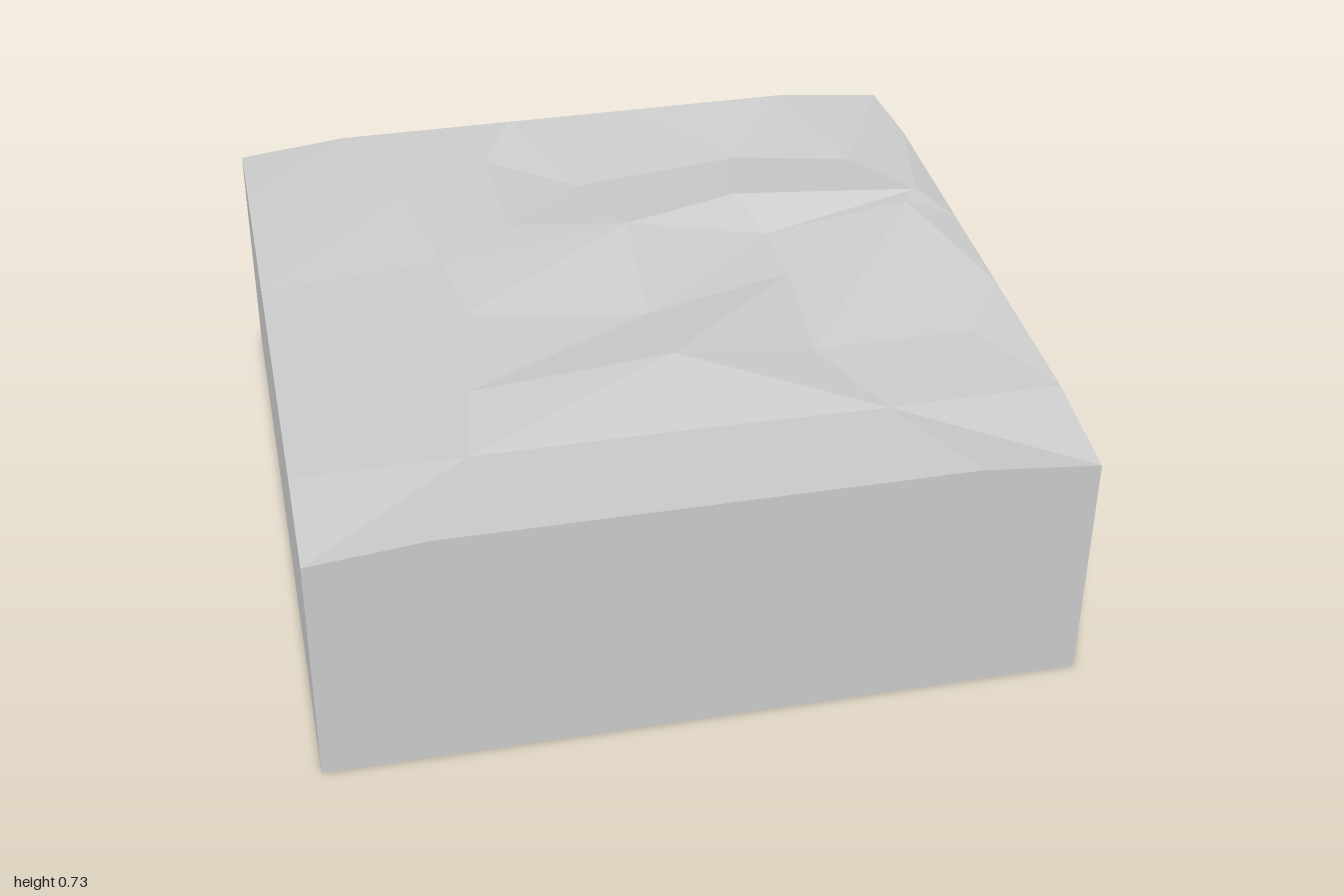
import * as THREE from 'three';

// Surface levels: valleys, level ground, ridges and dipped corners
const LOW = 0.672, MID = 0.7, HIGH = 0.727, CORNER = 0.667;

// Ground rows from back to front; each point is [x, y, z]
const back = [[-1, CORNER, -1], [-0.69, MID, -1], [-0.18, MID, -1], [0.17, MID, -1], [0.69, MID, -1], [1, CORNER, -1]];
const backValley = [[-1, MID, -0.69], [-0.55, MID, -0.63], [-0.28, LOW, -0.82], [-0.03, LOW, -0.62],
  [0.47, LOW, -0.69], [0.8, LOW, -0.61], [1, MID, -0.69]];
const ridgeTop = [[-1, MID, -0.18], [-0.49, LOW, -0.28], [-0.28, 0.688, -0.41], [0.05, HIGH, -0.29],
  [0.39, HIGH, -0.39], [0.92, HIGH, -0.31], [1, MID, -0.18]];
const ridgeFoot = [ridgeTop[0], ridgeTop[1], ridgeTop[3], [0.45, LOW, -0.24], [0.87, HIGH, -0.25], ridgeTop[6]];
const midValley = [[-1, MID, 0.18], [-0.46, LOW, 0], [0.03, LOW, 0.1], [0.46, LOW, -0.02], ridgeFoot[4], ridgeFoot[5]];
const knoll = [midValley[0], [-0.51, LOW, 0.37], [0.04, HIGH, 0.38], [0.43, LOW, 0.36], [0.87, LOW, 0.36], [1, MID, 0.18]];
const frontValley = [[-1, MID, 0.69], [-0.55, LOW, 0.65], [0.05, LOW, 0.65], [0.55, LOW, 0.66], [1, MID, 0.69]];
const front = [[-1, CORNER, 1], [-0.69, MID, 1], [0.69, MID, 1], [1, CORNER, 1]];

// Joins two rows with triangles; each step advances along the back (a) or front (b) row
function strip(out, a, b, steps) {
  let i = 0, j = 0;
  for (const s of steps) {
    const tri = [a[i], b[j], s === 'a' ? a[++i] : b[++j]];
    if (new Set(tri).size === 3) out.push(...tri.flat());
  }
}

function facetedMesh(name, positions) {
  const geometry = new THREE.BufferGeometry();
  geometry.setAttribute('position', new THREE.Float32BufferAttribute(positions, 3));
  geometry.computeVertexNormals();
  const material = new THREE.MeshStandardMaterial({ color: 0xcccccc, flatShading: true, side: THREE.DoubleSide });
  const mesh = new THREE.Mesh(geometry, material);
  mesh.name = name;
  return mesh;
}

export function createModel() {
  const group = new THREE.Group();
  group.name = 'terrainBlock';

  // Uneven faceted ground
  const ground = [];
  strip(ground, back, backValley, 'ababbababab');
  strip(ground, backValley, ridgeTop, 'abababababab');
  strip(ground, ridgeTop, ridgeFoot, 'abaabababab');
  strip(ground, ridgeFoot, midValley, 'ababababab');
  strip(ground, midValley, knoll, 'ababababba');
  strip(ground, knoll, frontValley, 'ababbaaba');
  strip(ground, frontValley, front, 'abababa');
  group.add(facetedMesh('ground', ground));

  // Four walls under the ground's rim, open at the bottom
  const last = (row) => row[row.length - 1];
  const rims = {
    frontWall: front,
    leftWall: [front, frontValley, knoll, ridgeTop, backValley, back].map(last),
    backWall: [...back].reverse(),
    rightWall: [back, backValley, ridgeTop, midValley, frontValley, front].map((row) => row[0]),
  };
  for (const [name, rim] of Object.entries(rims)) {
    const wall = [];
    for (let i = 0; i < rim.length - 1; i++) {
      const p = rim[i], q = rim[i + 1];
      const p0 = [p[0], 0, p[2]], q0 = [q[0], 0, q[2]];
      wall.push(...p0, ...q0, ...q, ...p0, ...q, ...p);
    }
    group.add(facetedMesh(name, wall));
  }
  return group;
}
